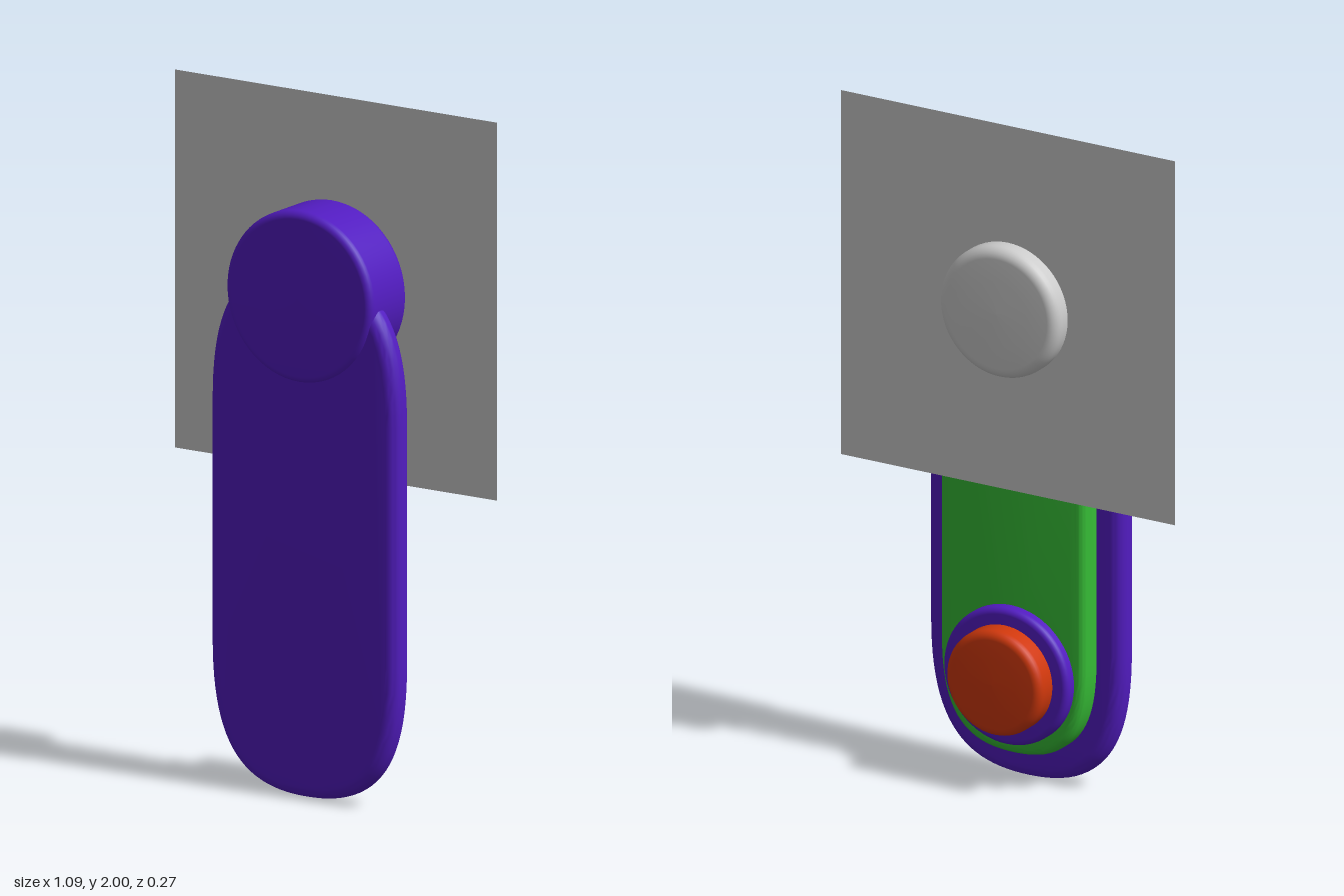
import * as THREE from 'three';
import { toCreasedNormals } from 'three/addons/utils/BufferGeometryUtils.js';

const paint = (color) => new THREE.MeshStandardMaterial({ color });

// Long plate with squarish rounded ends and a rounded rim
function slab(name, material, { halfWidth, bottom, top, back, front, bevel, end, x }) {
  const a = halfWidth - bevel, y0 = bottom + bevel, y1 = top - bevel;
  const cx = a * 0.62, cy = end * 0.18;
  const shape = new THREE.Shape();
  shape.moveTo(0, y0);
  shape.bezierCurveTo(cx, y0, a, y0 + cy, a, y0 + end);
  shape.lineTo(a, y1 - end);
  shape.bezierCurveTo(a, y1 - cy, cx, y1, 0, y1);
  shape.bezierCurveTo(-cx, y1, -a, y1 - cy, -a, y1 - end);
  shape.lineTo(-a, y0 + end);
  shape.bezierCurveTo(-a, y0 + cy, -cx, y0, 0, y0);
  const geometry = new THREE.ExtrudeGeometry(shape, {
    depth: front - back - 2 * bevel, bevelThickness: bevel, bevelSize: bevel,
    bevelSegments: 8, curveSegments: 24,
  });
  const mesh = new THREE.Mesh(toCreasedNormals(geometry, 0.7), material);
  mesh.name = name;
  mesh.position.set(x, 0, back + bevel);
  return mesh;
}

// Round disc along z with rounded edges and very slightly domed faces
function disc(name, material, { radius, back, front, round, x = 0, y }) {
  const h = front - back, dome = 0.003;
  const points = [new THREE.Vector2(0, 0), new THREE.Vector2(radius * 0.5, dome * 0.25)];
  for (const [cy, start] of [[dome + round, -Math.PI / 2], [h - dome - round, 0]]) {
    for (let i = 0; i <= 6; i++) {
      const t = start + (i / 6) * Math.PI / 2;
      points.push(new THREE.Vector2(radius - round + round * Math.cos(t), cy + round * Math.sin(t)));
    }
  }
  points.push(new THREE.Vector2(radius * 0.5, h - dome * 0.25), new THREE.Vector2(0, h));
  const mesh = new THREE.Mesh(new THREE.LatheGeometry(points, 64).rotateX(Math.PI / 2), material);
  mesh.name = name;
  mesh.position.set(x, y, back);
  return mesh;
}

export function createModel() {
  const group = new THREE.Group();
  group.name = 'handle';
  const purple = paint(0x521cc0), green = paint(0x36bc36), red = paint(0xd0380c), grey = paint(0xcccccc);

  // Lever body and its backing
  group.add(
    slab('leverBody', purple, {
      halfWidth: 0.321, bottom: 0.004, top: 1.535, back: 0.042, front: 0.122, bevel: 0.038, end: 0.38, x: 0.008,
    }),
    slab('backingPlate', green, {
      halfWidth: 0.238, bottom: 0.098, top: 1.44, back: -0.028, front: 0.06, bevel: 0.025, end: 0.28, x: 0.008,
    }),
  );

  // Pivot hub with the spindle that passes through the panel
  group.add(
    disc('pivotHub', purple, { radius: 0.249, back: -0.057, front: 0.134, round: 0.022, y: 1.455 }),
    disc('spindle', grey, { radius: 0.196, back: -0.125, front: -0.03, round: 0.032, y: 1.453 }),
  );

  // Lower button and its collar
  group.add(
    disc('buttonCollar', purple, { radius: 0.205, back: -0.068, front: 0, round: 0.018, x: 0.008, y: 0.342 }),
    disc('button', red, { radius: 0.157, back: -0.137, front: -0.04, round: 0.025, x: 0.008, y: 0.342 }),
  );

  // Thin square mounting panel
  const panel = new THREE.Mesh(
    new THREE.PlaneGeometry(1.094, 1.094),
    new THREE.MeshStandardMaterial({ color: 0xcccccc, side: THREE.DoubleSide }),
  );
  panel.name = 'mountingPanel';
  panel.position.set(0, 1.453, -0.06);
  group.add(panel);

  return group;
}
